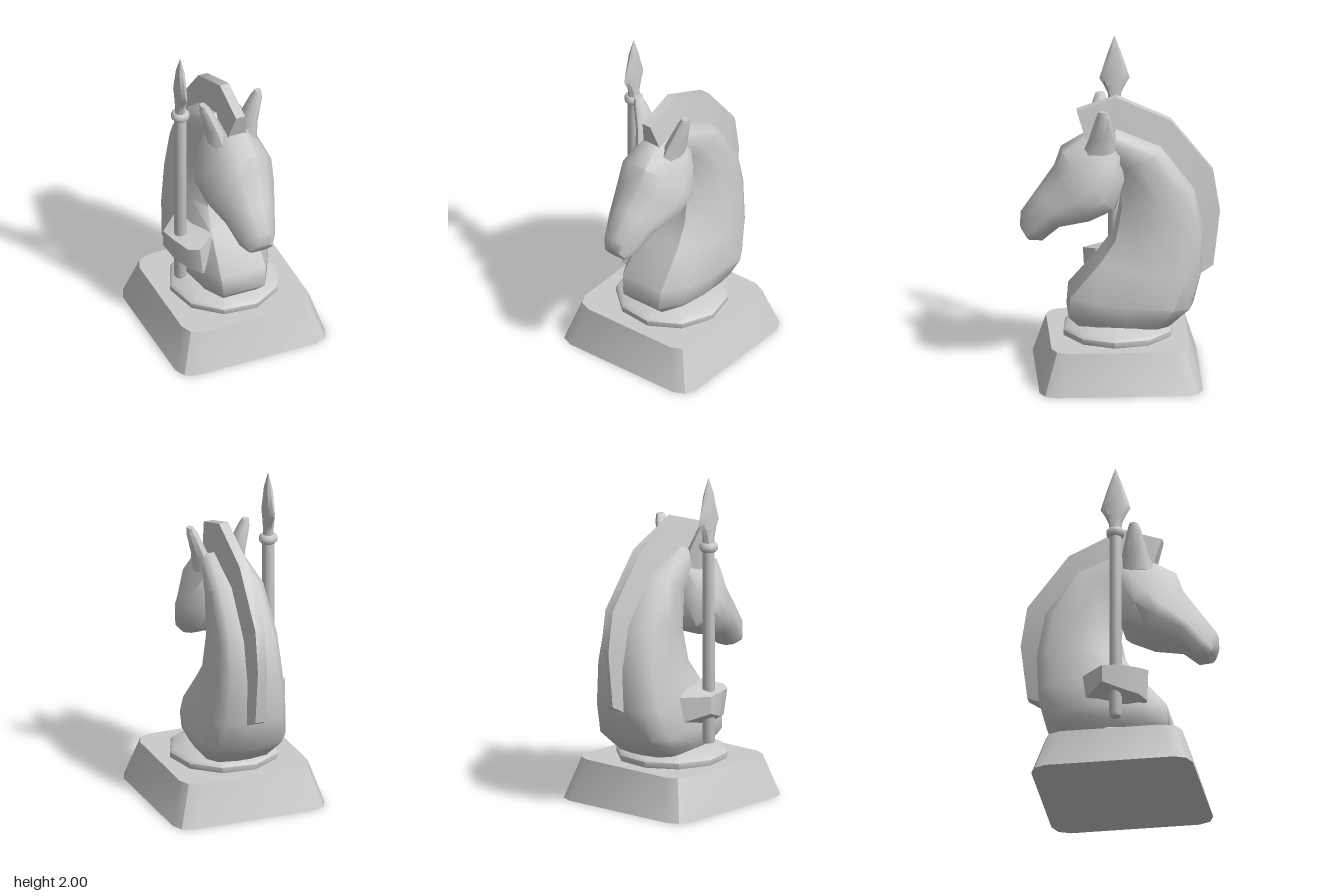
import * as THREE from 'three';
import { toCreasedNormals, mergeVertices } from 'three/addons/utils/BufferGeometryUtils.js';
import { ConvexGeometry } from 'three/addons/geometries/ConvexGeometry.js';

const material = new THREE.MeshStandardMaterial({ color: 0xcccccc });

// Closed skin over rings of [x, y, z] points, capped at both ends
function loft(rings, crease = 0.7) {
  const n = rings[0].length, m = rings.length;
  const points = rings.flat();
  for (const r of [rings[0], rings[m - 1]]) {
    points.push([0, 1, 2].map((k) => r.reduce((s, p) => s + p[k], 0) / n));
  }
  let index = [];
  for (let i = 0; i < m - 1; i++) {
    for (let j = 0; j < n; j++) {
      const a = i * n + j, b = i * n + (j + 1) % n;
      index.push(a, b, a + n, b, b + n, a + n);
    }
  }
  for (let j = 0; j < n; j++) {
    const k = (j + 1) % n, top = (m - 1) * n;
    index.push(n * m, k, j, n * m + 1, top + j, top + k);
  }
  // turn the faces outward if the signed volume is negative
  const v = points.map((p) => new THREE.Vector3(...p));
  let volume = 0;
  for (let i = 0; i < index.length; i += 3) {
    volume += v[index[i]].dot(v[index[i + 1]].clone().cross(v[index[i + 2]]));
  }
  if (volume < 0) index.reverse();
  const geometry = new THREE.BufferGeometry();
  geometry.setAttribute('position', new THREE.Float32BufferAttribute(points.flat(), 3));
  geometry.setIndex(index);
  return toCreasedNormals(geometry, crease);
}

// Symmetric ring between side-view points a and b ([z, y]); shape lists [width, position]
function section(a, b, halfWidth, shape) {
  const at = (s, [w, t]) => [s * w * halfWidth, a[1] + (b[1] - a[1]) * t, a[0] + (b[0] - a[0]) * t];
  return [...shape.map((p) => at(1, p)), ...shape.slice().reverse().map((p) => at(-1, p))];
}

// Square ring with softened corners
function plinthRing(y, h, c = 0.1) {
  const corner = [[h, h - c], [h - c * 0.3, h - c * 0.3], [h - c, h]];
  const ring = [];
  for (const [sx, sz] of [[1, 1], [-1, 1], [-1, -1], [1, -1]]) {
    const pts = sx * sz > 0 ? corner : corner.slice().reverse();
    for (const [x, z] of pts) ring.push([sx * x, y, sz * z + 0.015]);
  }
  return ring;
}

// Oval ring in a level plane
function oval(x, y, z, rx, rz, n = 8) {
  return Array.from({ length: n }, (_, i) => {
    const a = (i / n) * Math.PI * 2;
    return [x + Math.cos(a) * rx, y, z + Math.sin(a) * rz];
  });
}

export function createModel() {
  const model = new THREE.Group();
  const add = (name, geometry, x = 0, y = 0, z = 0) => {
    const mesh = new THREE.Mesh(geometry, material);
    mesh.name = name;
    mesh.position.set(x, y, z);
    model.add(mesh);
    return mesh;
  };

  // Plinth and ten-sided collar
  add('plinth', loft([plinthRing(0, 0.485), plinthRing(0.25, 0.41)], 0.6));
  const collar = new THREE.LatheGeometry(
    [[0, 0.24], [0.325, 0.24], [0.335, 0.26], [0.335, 0.285], [0.32, 0.3], [0.22, 0.335], [0, 0.335]]
      .map((p) => new THREE.Vector2(...p)), 10);
  add('collar', toCreasedNormals(collar, 0.5), 0, 0, 0.015).rotation.y = 1.47;

  // Neck: front point, back point, half width
  const neckShape = [[0.55, 0.01], [0.87, 0.22], [1, 0.5], [1, 0.83], [0.76, 0.96], [0.2, 1]];
  add('neck', loft([
    [[0.26, 0.32], [-0.30, 0.32], 0.20],
    [[0.32, 0.38], [-0.36, 0.38], 0.24],
    [[0.31, 0.51], [-0.43, 0.44], 0.263],
    [[0.13, 0.72], [-0.48, 0.63], 0.235],
    [[0.04, 0.85], [-0.49, 0.90], 0.205],
    [[0.00, 1.05], [-0.44, 1.15], 0.185],
    [[0.02, 1.28], [-0.24, 1.42], 0.165],
    [[0.15, 1.40], [0.03, 1.54], 0.12],
  ].map(([f, b, w]) => section(f, b, w, neckShape)), 0.9));

  // Head: top point, underside point, half width
  const headShape = [[0.25, 0], [0.62, 0.17], [0.95, 0.5], [1, 0.7], [0.68, 0.94], [0.25, 1]];
  add('head', loft([
    [[0.04, 1.54], [-0.02, 1.36], 0.12],
    [[0.20, 1.49], [-0.03, 1.22], 0.18],
    [[0.35, 1.395], [0.03, 1.04], 0.24],
    [[0.39, 1.28], [0.18, 0.97], 0.215],
    [[0.49, 1.14], [0.36, 0.93], 0.155],
    [[0.59, 1.00], [0.46, 0.84], 0.112],
    [[0.595, 0.92], [0.54, 0.84], 0.075],
  ].map(([t, b, w]) => section(t, b, w, headShape)), 0.9));

  // Ears
  for (const s of [1, -1]) {
    add(s > 0 ? 'leftEar' : 'rightEar', loft([
      oval(s * 0.09, 1.40, 0.12, 0.06, 0.11),
      oval(s * 0.115, 1.50, 0.11, 0.05, 0.082),
      oval(s * 0.165, 1.645, 0.112, 0.035, 0.042),
      oval(s * 0.178, 1.685, 0.112, 0.02, 0.026),
    ], 0.9));
  }

  // Mane crest: inner point to outer point, tapering outward
  add('mane', loft([
    [[0.20, 1.44], [0.26, 1.64]],
    [[0.03, 1.48], [0.02, 1.72]],
    [[-0.20, 1.38], [-0.30, 1.57]],
    [[-0.40, 1.12], [-0.55, 1.25]],
    [[-0.44, 0.90], [-0.59, 1.00]],
    [[-0.44, 0.60], [-0.55, 0.66]],
  ].map(([a, b]) => section(a, b, 0.065, [[1, 0], [0.45, 1]])), 0.6));

  // Arm that grips the lance
  const arm = new ConvexGeometry([
    [-0.365, 0.685, -0.05], [-0.365, 0.58, -0.05], [-0.345, 0.69, 0.06], [-0.335, 0.54, 0.06],
    [-0.30, 0.68, 0.17], [-0.28, 0.52, 0.16], [-0.24, 0.69, 0.21], [-0.22, 0.50, 0.20],
    [-0.13, 0.74, -0.10], [-0.13, 0.72, 0.14], [-0.18, 0.68, -0.24], [-0.18, 0.50, -0.24],
    [-0.20, 0.45, 0.05], [-0.12, 0.45, 0.15],
  ].map((p) => new THREE.Vector3(...p)));
  arm.deleteAttribute('normal');
  add('arm', toCreasedNormals(mergeVertices(arm), 0.7));

  // Lance
  const x = -0.285, z = 0.02;
  add('lanceShaft', loft([
    oval(x, 0.38, z, 0.032, 0.032, 12), oval(x, 0.395, z, 0.038, 0.038, 12),
    oval(x, 1.57, z, 0.036, 0.036, 12),
  ]));
  add('lanceCollar', loft([
    [1.55, 0.042], [1.565, 0.055], [1.59, 0.055], [1.605, 0.042],
  ].map(([y, r]) => oval(x, y, z, r, r, 12)), 0.9));
  add('lanceTip', loft([
    [1.59, 0.035, 0.035], [1.64, 0.032, 0.04], [1.695, 0.028, 0.065], [1.735, 0.026, 0.09],
    [1.77, 0.026, 0.08], [1.90, 0.024, 0.038], [2, 0.001, 0.001],
  ].map(([y, rx, rz]) => oval(x, y, z, rx, rz)), 0.7));

  return model;
}
